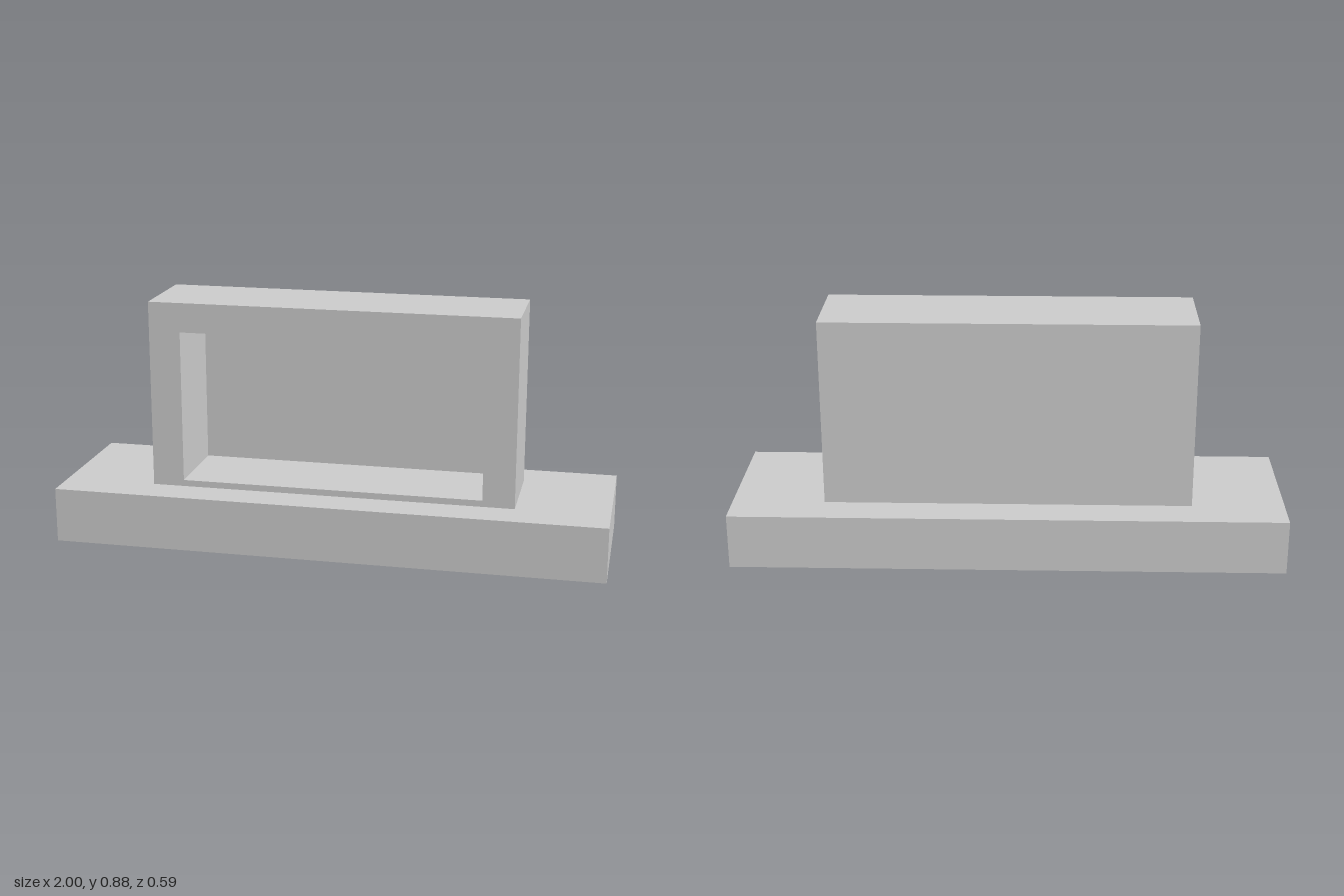
import * as THREE from 'three';

const material = new THREE.MeshStandardMaterial({ color: 0xcccccc, flatShading: true });

function addMesh(group, name, geometry, x, y, z, mat = material) {
  const mesh = new THREE.Mesh(geometry, mat);
  mesh.name = name;
  mesh.position.set(x, y, z);
  group.add(mesh);
  return mesh;
}

// Closed rectangular outline
function rectangle(Type, x0, y0, x1, y1) {
  return new Type([[x0, y0], [x1, y0], [x1, y1], [x0, y1]].map(([x, y]) => new THREE.Vector2(x, y)));
}

export function createModel() {
  const group = new THREE.Group();
  group.name = 'displayBoxOnBase';

  const baseTop = 0.2, top = 0.885, halfWidth = 0.665;
  const front = 0.163, recess = -0.145;

  // Wide slab the box stands on
  addMesh(group, 'base', new THREE.BoxGeometry(2, baseTop, 0.59), 0, baseTop / 2, 0);

  // Box walls around the front opening
  const outline = rectangle(THREE.Shape, -halfWidth, baseTop, halfWidth, top);
  outline.holes.push(rectangle(THREE.Path, -0.55, 0.223, 0.55, 0.778));
  const walls = new THREE.ExtrudeGeometry(outline, { depth: front - recess, bevelEnabled: false });
  addMesh(group, 'boxWalls', walls, 0, 0, recess);

  // Thin panel closing the back of the box
  const thickness = front + recess;
  addMesh(group, 'backPanel', new THREE.BoxGeometry(halfWidth * 2, top - baseTop, thickness),
    0, (top + baseTop) / 2, recess - thickness / 2);

  // Flat disc just above the floor of the opening
  const discMaterial = material.clone();
  discMaterial.side = THREE.DoubleSide;
  const disc = addMesh(group, 'floorDisc', new THREE.CircleGeometry(0.132, 48), -0.03, 0.238, 0.046, discMaterial);
  disc.rotation.x = -Math.PI / 2;

  return group;
}
